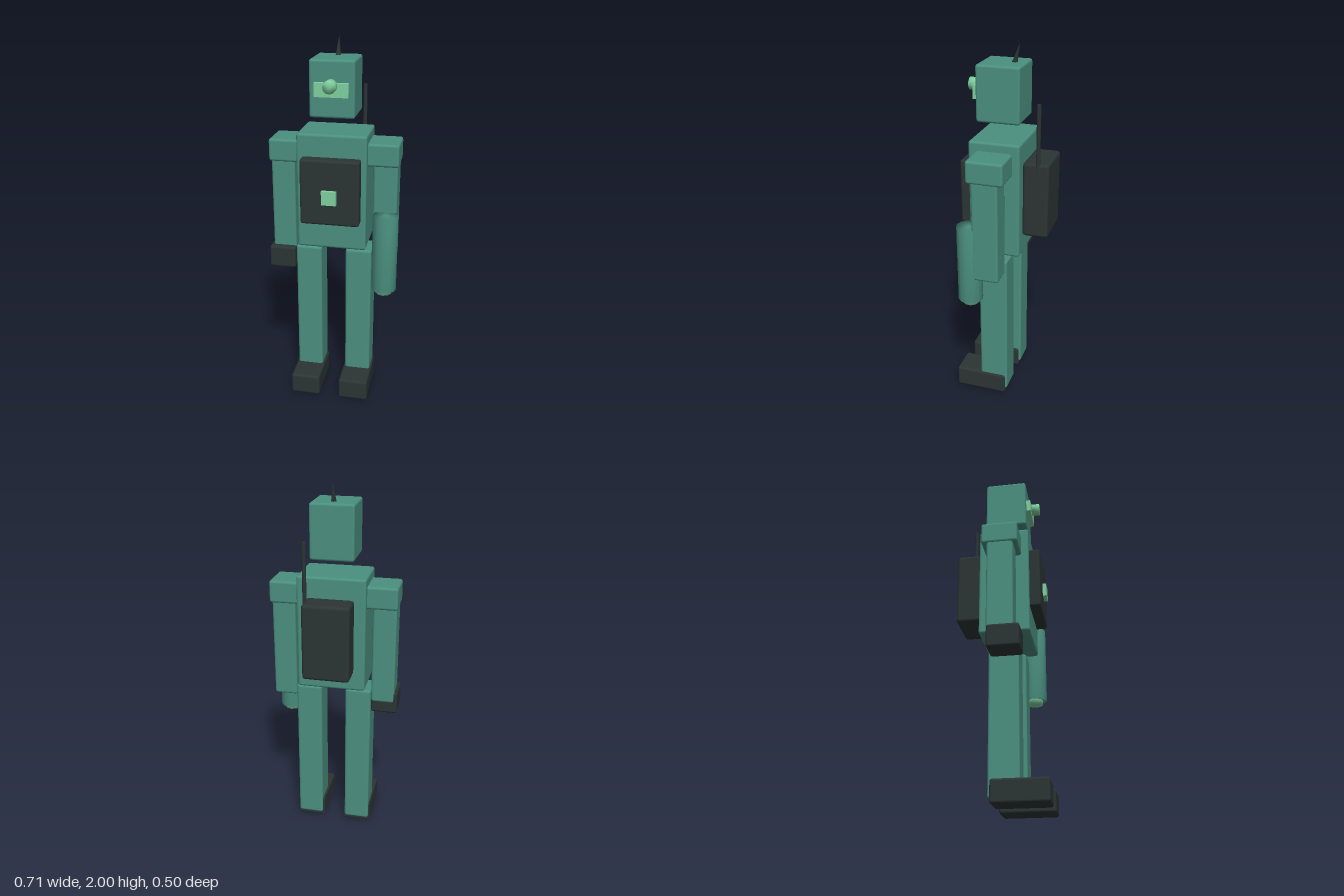
import * as THREE from 'three';
import { RoundedBoxGeometry } from 'three/addons/geometries/RoundedBoxGeometry.js';
import { mergeVertices } from 'three/addons/utils/BufferGeometryUtils.js';

function flat(name, color) {
  const m = new THREE.MeshStandardMaterial({ color });
  m.name = name;
  return m;
}

export function createModel() {
  const armor = flat('teal armor', 0x4b9080);
  const dark = flat('charcoal', 0x2c3534);
  const glow = flat('mint glow', 0x7fd0a0);
  const root = new THREE.Group();
  root.name = 'robot';

  const add = (name, geometry, material, x, y, z) => {
    const mesh = new THREE.Mesh(geometry, material);
    mesh.name = name;
    mesh.position.set(x, y, z);
    root.add(mesh);
    return mesh;
  };

  // Box given by its limits on each axis; bevel 0 keeps it sharp
  const box = (name, material, [x0, x1], [y0, y1], [z0, z1], bevel = 0.014) => {
    const size = [x1 - x0, y1 - y0, z1 - z0];
    const geometry = bevel
      ? new RoundedBoxGeometry(...size, 2, bevel)
      : new THREE.BoxGeometry(...size);
    return add(name, geometry, material, (x0 + x1) / 2, (y0 + y1) / 2, (z0 + z1) / 2);
  };

  // Cylinder whose shading runs softly over the rims
  const softCylinder = (radius, length, sides) => {
    const g = new THREE.CylinderGeometry(radius, radius, length, sides);
    g.deleteAttribute('normal');
    g.deleteAttribute('uv');
    const merged = mergeVertices(g);
    merged.computeVertexNormals();
    return merged;
  };

  // Head with visor, eye and tilted spike
  box('head', armor, [-0.117, 0.119], [1.61, 1.905], [-0.093, 0.141]);
  box('visor', glow, [-0.086, 0.09], [1.722, 1.793], [0.12, 0.165], 0);
  const eye = add('eye', softCylinder(0.034, 0.054, 12), glow, 0.001, 1.78, 0.182);
  eye.rotation.x = Math.PI / 2;
  const spike = add('headSpike', new THREE.ConeGeometry(0.017, 0.12, 8), dark, 0.001, 1.943, -0.043);
  spike.rotation.x = -0.27;

  // Torso, chest plate and backpack
  box('torso', armor, [-0.185, 0.187], [0.9, 1.53], [-0.115, 0.161]);
  box('chestPlate', dark, [-0.156, 0.159], [1.055, 1.41], [0.1, 0.22]);
  box('chestLight', glow, [-0.037, 0.041], [1.175, 1.25], [0.2, 0.24], 0);
  box('backpack', dark, [-0.126, 0.129], [1.005, 1.42], [-0.253, -0.113], 0.018);
  add('antenna', new THREE.CylinderGeometry(0.011, 0.011, 0.36, 8), dark, 0.12, 1.55, -0.195);

  // Paired limbs
  for (const s of [-1, 1]) {
    const side = s > 0 ? 'left' : 'right';
    const span = (a, b) => (s > 0 ? [a + 0.001, b + 0.001] : [0.001 - b, 0.001 - a]);
    box(side + 'Shoulder', armor, span(0.165, 0.347), [1.36, 1.482], [-0.076, 0.121]);
    box(side + 'Arm', armor, span(0.212, 0.341), [0.81, 1.4], [-0.047, 0.096]);
    box(side + 'Leg', armor, span(0.067, 0.211), [0.025, 0.875], [-0.054, 0.106]);
    box(side + 'Foot', dark, span(0.056, 0.22), [0, 0.12], [-0.043, 0.25]);
  }

  // Right hand, and the cannon in place of the left one
  box('rightHand', dark, [-0.357, -0.21], [0.745, 0.87], [-0.042, 0.13]);
  add('armCannon', softCylinder(0.068, 0.434, 12), armor, 0.288, 0.886, 0.126);
  add('cannonMuzzle', softCylinder(0.045, 0.04, 10), glow, 0.288, 0.664, 0.126);

  return root;
}
